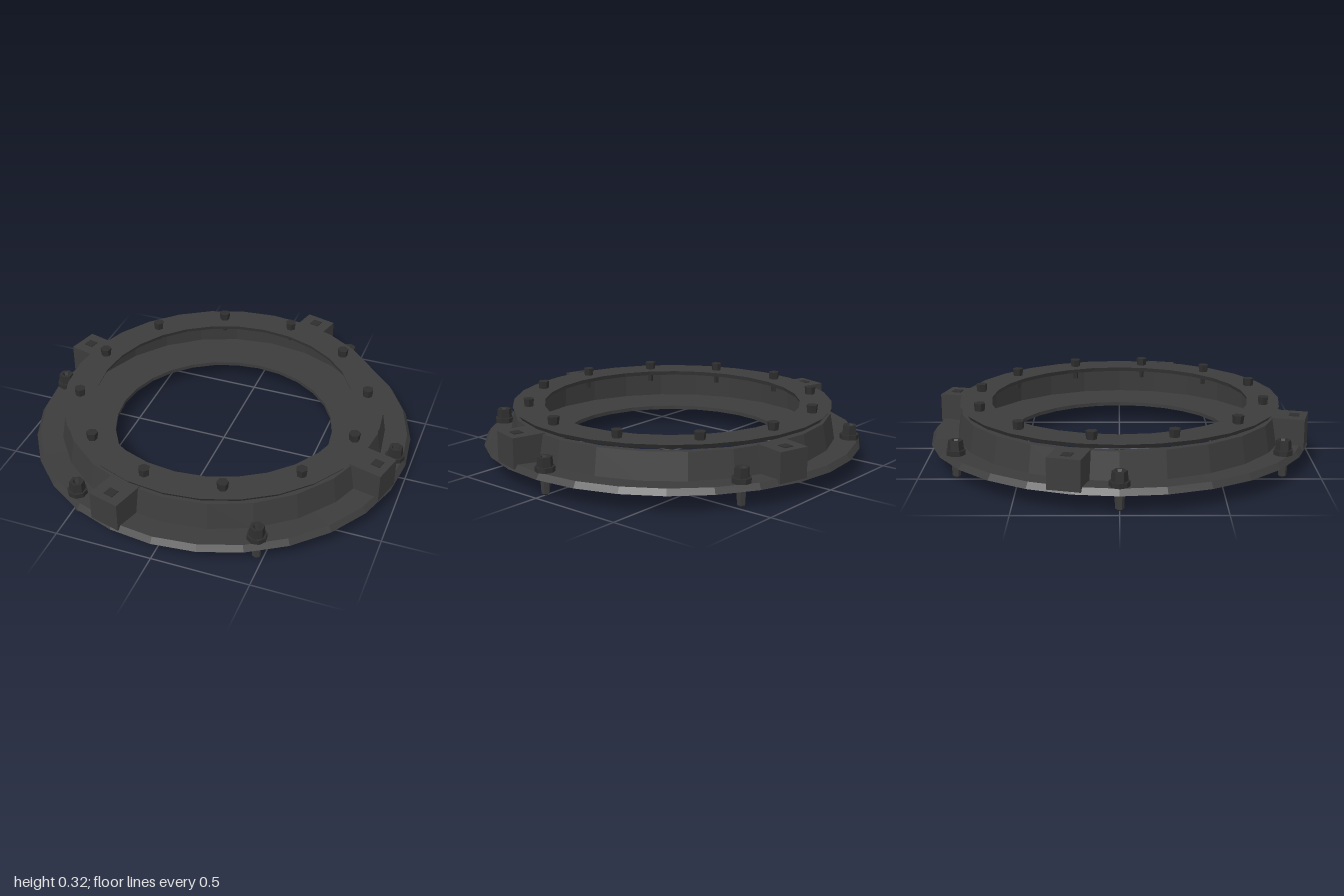
import * as THREE from 'three';

const steel = new THREE.MeshStandardMaterial({ color: 0x3c3c3c });
steel.name = 'dark grey steel';
const boltSteel = new THREE.MeshStandardMaterial({ color: 0x2e2e2e });
boltSteel.name = 'darker bolt steel';

// Faceted mesh: every face gets its own normal
function facet(geometry, material, name) {
  const g = geometry.index ? geometry.toNonIndexed() : geometry;
  g.computeVertexNormals();
  const mesh = new THREE.Mesh(g, material);
  mesh.name = name;
  return mesh;
}

// Closed ring turned from [radius, height] corners, listed counter-clockwise
function ring(corners, sides, material, name) {
  const points = [...corners, corners[0]].map(([r, y]) => new THREE.Vector2(r, y));
  return facet(new THREE.LatheGeometry(points, sides), material, name);
}

// Place an object at a radius and an angle in degrees (from +x towards +z)
function placeAround(object, radius, degrees) {
  const a = THREE.MathUtils.degToRad(degrees);
  object.position.x = radius * Math.cos(a);
  object.position.z = radius * Math.sin(a);
  object.rotation.y = -a;
  return object;
}

// Hollow bolt through the flange, with a socketed hexagonal head
function flangeBolt() {
  const bolt = new THREE.Group();
  bolt.name = 'flangeBolt';
  bolt.add(
    ring([[0.008, 0], [0.021, 0.01], [0.027, 0.13], [0.008, 0.13]], 6, steel, 'flangeBoltShank'),
    ring([[0.008, 0.12], [0.05, 0.12], [0.05, 0.145], [0.008, 0.145]], 8, boltSteel, 'flangeBoltWasher'),
    ring([[0.008, 0.145], [0.041, 0.145], [0.037, 0.193], [0.022, 0.193], [0.008, 0.16]], 6, boltSteel, 'flangeBoltHead')
  );
  return bolt;
}

// Small screw holding the cover ring
function coverScrew() {
  const screw = new THREE.Group();
  screw.name = 'coverScrew';
  const head = facet(new THREE.CylinderGeometry(0.03, 0.026, 0.04, 6), boltSteel, 'coverScrewHead');
  head.position.y = 0.305;
  const shank = facet(new THREE.CylinderGeometry(0.016, 0.013, 0.06, 5), boltSteel, 'coverScrewShank');
  shank.position.y = 0.24;
  screw.add(head, shank);
  return screw;
}

// Square lug standing on the flange, with a thin inset plate on top
function lug() {
  const group = new THREE.Group();
  group.name = 'lug';
  const block = facet(new THREE.BoxGeometry(0.175, 0.155, 0.165), steel, 'lugBlock');
  block.position.y = 0.1775;
  const inset = facet(new THREE.BoxGeometry(0.05, 0.005, 0.05), boltSteel, 'lugInset');
  inset.position.set(0.025, 0.2565, 0);
  group.add(block, inset);
  return group;
}

export function createModel() {
  const model = new THREE.Group();
  model.name = 'boltedRing';

  // Base flange with a slight lip under the bore
  model.add(ring(
    [[0.58, 0.08], [0.62, 0.08], [0.64, 0.09], [0.995, 0.09], [0.975, 0.12], [0.58, 0.1]],
    28, steel, 'baseFlange'));

  // Hollow housing wall, open under the cover
  model.add(ring(
    [[0.81, 0.105], [0.86, 0.105], [0.835, 0.25], [0.8, 0.25]],
    24, steel, 'housingWall'));

  // Cover ring held just above the wall
  model.add(ring(
    [[0.685, 0.262], [0.825, 0.262], [0.842, 0.285], [0.675, 0.285]],
    28, steel, 'coverRing'));

  for (let i = 0; i < 6; i++) model.add(placeAround(flangeBolt(), 0.935, i * 60));
  for (let i = 0; i < 12; i++) model.add(placeAround(coverScrew(), 0.757, 10 + i * 30));
  for (let i = 0; i < 4; i++) model.add(placeAround(lug(), 0.9, 15 + i * 90));

  return model;
}
